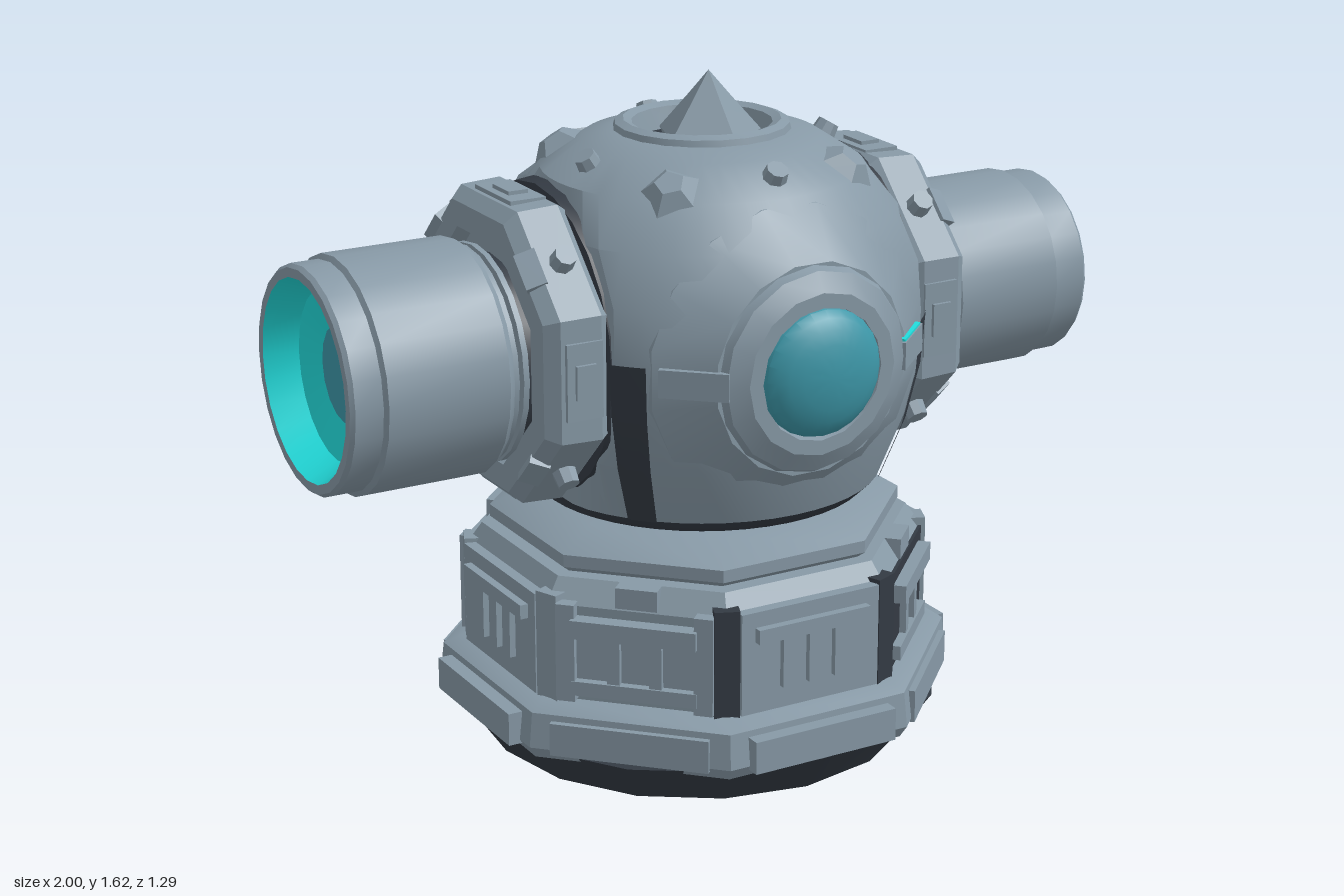
import * as THREE from 'three';
import { toCreasedNormals } from 'three/addons/utils/BufferGeometryUtils.js';

const mat = (name, color) => {
  const m = new THREE.MeshStandardMaterial({ color });
  m.name = name;
  return m;
};
const steel = mat('blue grey steel', 0x8799a6);
const dark = mat('dark metal', 0x333a43);
const glow = mat('bright teal', 0x22dcdc);
const lens = mat('lens teal', 0x3d97a8);

function add(parent, name, geo, material, pos = [0, 0, 0], rot = [0, 0, 0]) {
  const m = new THREE.Mesh(toCreasedNormals(geo, 0.5), material);
  m.name = name;
  m.position.set(...pos);
  m.rotation.set(...rot);
  parent.add(m);
  return m;
}
function group(parent, name, pos = [0, 0, 0], rot = [0, 0, 0]) {
  const g = new THREE.Group();
  g.name = name;
  g.position.set(...pos);
  g.rotation.set(...rot);
  parent.add(g);
  return g;
}
const box = (w, h, d) => new THREE.BoxGeometry(w, h, d);
const cyl = (top, bottom, h, n = 12) => new THREE.CylinderGeometry(top, bottom, h, n);
const lathe = (pts, n = 28, start = 0, sweep = Math.PI * 2) =>
  new THREE.LatheGeometry(pts.map(p => new THREE.Vector2(...p)), n, start, sweep);

// Octagonal pedestal with a panel on every face
function buildBase(root) {
  const base = group(root, 'base', [0, 0, 0.02]);
  add(base, 'foot', cyl(0.595, 0.525, 0.1, 16), dark, [0, 0.05, 0]);
  add(base, 'lowerRing', lathe([[0, 0.09], [0.61, 0.09], [0.63, 0.12], [0.62, 0.205], [0.57, 0.225], [0, 0.225]], 8, Math.PI / 8), steel);
  add(base, 'drum', lathe([[0, 0.2], [0.555, 0.2], [0.56, 0.46], [0.52, 0.515], [0, 0.515]], 8, Math.PI / 8), steel);
  add(base, 'topPlate', lathe([[0, 0.515], [0.48, 0.515], [0.5, 0.53], [0.5, 0.56], [0.4, 0.605], [0, 0.605]], 8, Math.PI / 8), steel);
  add(base, 'neck', cyl(0.32, 0.32, 0.06, 20), dark, [0, 0.61, 0.02]);
  for (let i = 0; i < 8; i++) {
    const face = group(base, 'basePanel', [0, 0, 0], [0, i * Math.PI / 4, 0]);
    const front = i % 2 ? 0.59 : 0.61;
    add(face, 'ringPlate', box(0.38, 0.08, 0.06), steel, [0, 0.15, front - 0.03]);
    if (i >= 3 && i <= 5)
      add(face, 'lightStrip', box(0.33, 0.014, 0.006), glow, [0, 0.16, front]);
    if (i % 2) {
      // Diagonal faces: window with a bracket across it, one of them open and dark
      const open = i === 1;
      add(face, 'window', box(open ? 0.4 : 0.32, open ? 0.25 : 0.19, 0.008), open ? dark : steel, [0, 0.34, 0.52]);
      for (const s of [-1, 1]) {
        if (!open) add(face, 'windowPost', box(0.045, 0.24, 0.035), steel, [s * 0.165, 0.35, 0.525]);
        add(face, 'windowBar', box(0.03, 0.15, 0.03), steel, [s * 0.05, 0.33, 0.525]);
      }
      add(face, 'upperRail', box(0.3, 0.045, 0.05), steel, [0, 0.415, 0.53]);
      add(face, 'lowerRail', box(0.3, 0.035, 0.04), steel, [0, 0.265, 0.525]);
      add(face, 'topLug', box(0.1, 0.05, 0.06), steel, [0, 0.49, 0.49]);
    } else {
      // Straight faces: raised plate with rail and three ribs
      add(face, 'plate', box(0.37, 0.25, 0.03), steel, [0, 0.35, 0.52]);
      add(face, 'rail', box(0.3, 0.035, 0.03), steel, [0, 0.42, 0.54]);
      for (const x of [-0.07, 0, 0.07])
        add(face, 'rib', box(0.025, 0.13, 0.02), steel, [x, 0.345, 0.54]);
      if (i === 4) add(face, 'ribLight', box(0.012, 0.1, 0.004), glow, [0, 0.345, 0.551]);
    }
    const corner = group(base, 'baseCorner', [0, 0, 0], [0, (i + 0.5) * Math.PI / 4, 0]);
    add(corner, 'cornerStrip', box(0.06, 0.27, 0.04), i === 0 || i === 7 ? dark : steel, [0, 0.35, 0.545]);
  }
}

// Rounded body, flattened at the sides
function flatten(geo) {
  const p = geo.attributes.position;
  for (let i = 0; i < p.count; i++) p.setX(i, THREE.MathUtils.clamp(p.getX(i), -0.41, 0.41));
  return geo;
}
function buildBody(root) {
  const body = group(root, 'body', [0, 0, 0.05]);
  const side = [[0.43, 0.66], [0.485, 0.8], [0.515, 0.93], [0.525, 1.06]];
  add(body, 'shell', flatten(lathe([...side, [0.51, 1.18],
    [0.46, 1.3], [0.38, 1.4], [0.28, 1.465], [0.21, 1.485], [0.165, 1.49]], 48)), steel);
  add(body, 'underside', flatten(lathe([[0, 0.615], [0.35, 0.615], [0.4, 0.63], [0.43, 0.66]], 48)), dark);
  // Dark seams beside the shoulders, taller in front than behind
  const seam = side.map(([r, y]) => [r + 0.006, y]);
  for (const s of [-1, 1]) {
    add(body, 'frontSeam', lathe(seam, 4, s * 0.84 - 0.08, 0.16), dark);
    add(body, 'rearSeam', lathe(seam.slice(0, 2), 4, Math.PI + s * 0.84 - 0.08, 0.16), dark);
  }
  // Crown socket and spike
  add(body, 'crownRing', lathe([[0.215, 1.46], [0.205, 1.5], [0.185, 1.508], [0.165, 1.5], [0.15, 1.44]], 20), steel);
  add(body, 'crownWell', cyl(0.165, 0.165, 0.02, 20), dark, [0, 1.44, 0]);
  add(body, 'spike', lathe([[0.1, 1.43], [0.125, 1.48], [0.055, 1.56], [0, 1.625]], 5), steel, [0, 0, 0.03]);

  // Parts seated on the upper shell
  const seat = (name, geo, x, z, spin, lift) => {
    const y = 0.47 * Math.sqrt(1 - (x * x + z * z) / 0.281);
    const n = new THREE.Vector3(x / 0.281, y / 0.221, z / 0.281).normalize();
    const m = add(body, name, geo, steel, [x + n.x * lift, 1.03 + y + n.y * lift, z + n.z * lift]);
    m.quaternion.setFromUnitVectors(new THREE.Vector3(0, 1, 0), n);
    m.rotateY(spin);
  };
  for (const [x, z] of [[0.02, -0.28], [0.3, 0.03], [-0.3, 0.03], [0, 0.31]]) {
    seat('studWasher', cyl(0.045, 0.055, 0.03, 8), x, z, 0, 0.008);
    seat('stud', cyl(0.026, 0.034, 0.06, 8), x, z, 0, 0.025);
  }
  for (const s of [-1, 1]) {
    seat('armourWedge', cyl(0.035, 0.12, 0.08, 5), s * 0.25, -0.21, s, 0.018);
    seat('armourWedge', cyl(0.035, 0.12, 0.08, 5), s * 0.22, 0.25, s, 0.018);
  }
}

// Front eye with stepped round surround and side tabs
function buildEye(root) {
  const eye = group(root, 'frontEye', [0, 1.03, 0], [Math.PI / 2, 0, 0]);
  add(eye, 'surround', lathe([[0.37, 0.36], [0.36, 0.44], [0.25, 0.545], [0, 0.545]], 16, Math.PI / 16), steel);
  add(eye, 'eyeRing', lathe([[0.25, 0.53], [0.235, 0.565], [0.19, 0.59], [0.155, 0.59], [0.145, 0.55]], 16), steel);
  add(eye, 'eyeLens', new THREE.SphereGeometry(0.153, 24, 12).scale(1, 0.44, 1), lens, [0, 0.577, -0.005]);
  for (const s of [-1, 1])
    add(eye, 'sideTab', box(0.16, 0.05, 0.065), steel, [s * 0.275, 0.5, 0], [0, 0, -s * 0.74]);
  add(eye, 'tabLight', box(0.14, 0.016, 0.006), glow, [0.284, 0.51, -0.035], [0, 0, -0.74]);
}

// Tapered rear housing, tipped slightly upward
function buildRear(root) {
  const rear = group(root, 'rearHousing', [0, 1.085, -0.605], [-Math.PI / 2 + 0.11, 0, 0]);
  add(rear, 'housing', lathe([[0, -0.34], [0.4, -0.34], [0.37, -0.25], [0.235, -0.01], [0.215, 0], [0.168, 0], [0.16, -0.02]], 12, Math.PI / 12), steel);
  add(rear, 'rearGlow', lathe([[0.168, 0.005], [0.125, 0.004]], 24), glow);
  add(rear, 'rearLens', new THREE.SphereGeometry(0.14, 24, 12).scale(1, 0.27, 1), lens);
  // Bracket reliefs above and below
  for (const a of [0, Math.PI]) {
    const side = group(rear, 'bracketPanel', [0, 0, 0], [0, a, 0]);
    const slope = group(side, 'bracketSlope', [0, -0.165, 0.304], [-0.52, 0, 0]);
    for (const s of [-1, 1]) {
      add(slope, 'bracketArm', box(0.035, 0.17, 0.04), steel, [s * 0.14, 0, -0.015], [0, 0, s * 0.2]);
      add(slope, 'bracketFoot', box(0.09, 0.035, 0.04), steel, [s * 0.1, -0.07, -0.008]);
      add(slope, 'bracketRib', box(0.03, 0.12, 0.04), steel, [s * 0.055, 0, -0.005]);
    }
    add(slope, 'bracketBar', box(0.13, 0.03, 0.04), steel, [0, 0.04, -0.005]);
  }
  for (const s of [-1, 1]) for (const z of [-0.06, 0.06])
    add(rear, 'rearStud', cyl(0.026, 0.032, 0.06, 8), steel, [s * 0.32, -0.17, z], [0, 0, -s * 1.05]);
}

// Side cannon: local y runs outward from the body
function buildCannon(root, s, r) {
  const arm = group(root, s > 0 ? 'leftCannon' : 'rightCannon', [0, 1.01, 0], [0, 0, -s * Math.PI / 2]);
  const shoulder = group(arm, 'shoulder', [-s * 0.015, 0, 0]);
  add(shoulder, 'shoulderBand', cyl(0.365, 0.37, 0.045, 24), dark, [0, 0.39, 0]);
  add(shoulder, 'collar', lathe([[0, 0.405], [0.36, 0.405], [0.38, 0.43], [0.375, 0.53], [0.345, 0.56], [0.28, 0.56], [0.26, 0.53], [0, 0.53]], 8, Math.PI / 8), steel);
  for (const y of [0.57, 0.595, 0.62])
    add(arm, 'neckRing', cyl(r - 0.02, r - 0.02, 0.014, 24), steel, [0, y, 0]);
  add(arm, 'neckCore', cyl(r - 0.045, r - 0.045, 0.12, 24), dark, [0, 0.58, 0]);
  const inner = r - 0.042;
  const step = s > 0 ? 0.9 : 0.915;
  add(arm, 'barrel', lathe([[0, 0.605], [r - 0.01, 0.605], [r, 0.62], [r, step], [r - 0.012, step + 0.008],
    [r - 0.012, 0.99], [r - 0.02, 1], [inner, 1]], 24), steel);
  add(arm, 'muzzleGlow', lathe([[inner, 1], [inner * 0.85, 0.925], [0.11, 0.9]], 24), glow);
  add(arm, 'muzzleLens', cyl(0.115, 0.115, 0.006, 16), lens, [0, 0.901, 0]);
  // Clamps and bolts around the collar
  for (let i = 0; i < 8; i++) {
    const clamp = group(shoulder, 'collarClamp', [0, 0, 0], [0, i * Math.PI / 4, 0]);
    if (i % 2) {
      add(clamp, 'lug', box(0.09, 0.05, 0.04), steel, [0, 0.54, 0.325], [-0.5, 0, 0]);
      add(clamp, 'bolt', cyl(0.026, 0.03, 0.05, 8), steel, [0, 0.475, 0.36], [Math.PI / 2, 0, 0]);
    } else {
      add(clamp, 'clampPlate', box(0.18, 0.09, 0.02), steel, [0, 0.475, 0.347]);
      add(clamp, 'clampInset', box(0.08, 0.05, 0.016), steel, [0, 0.475, 0.358]);
    }
  }
}

export function createModel() {
  const root = new THREE.Group();
  root.name = 'turret';
  buildBase(root);
  buildBody(root);
  buildEye(root);
  buildRear(root);
  buildCannon(root, 1, 0.243);
  buildCannon(root, -1, 0.278);
  return root;
}
